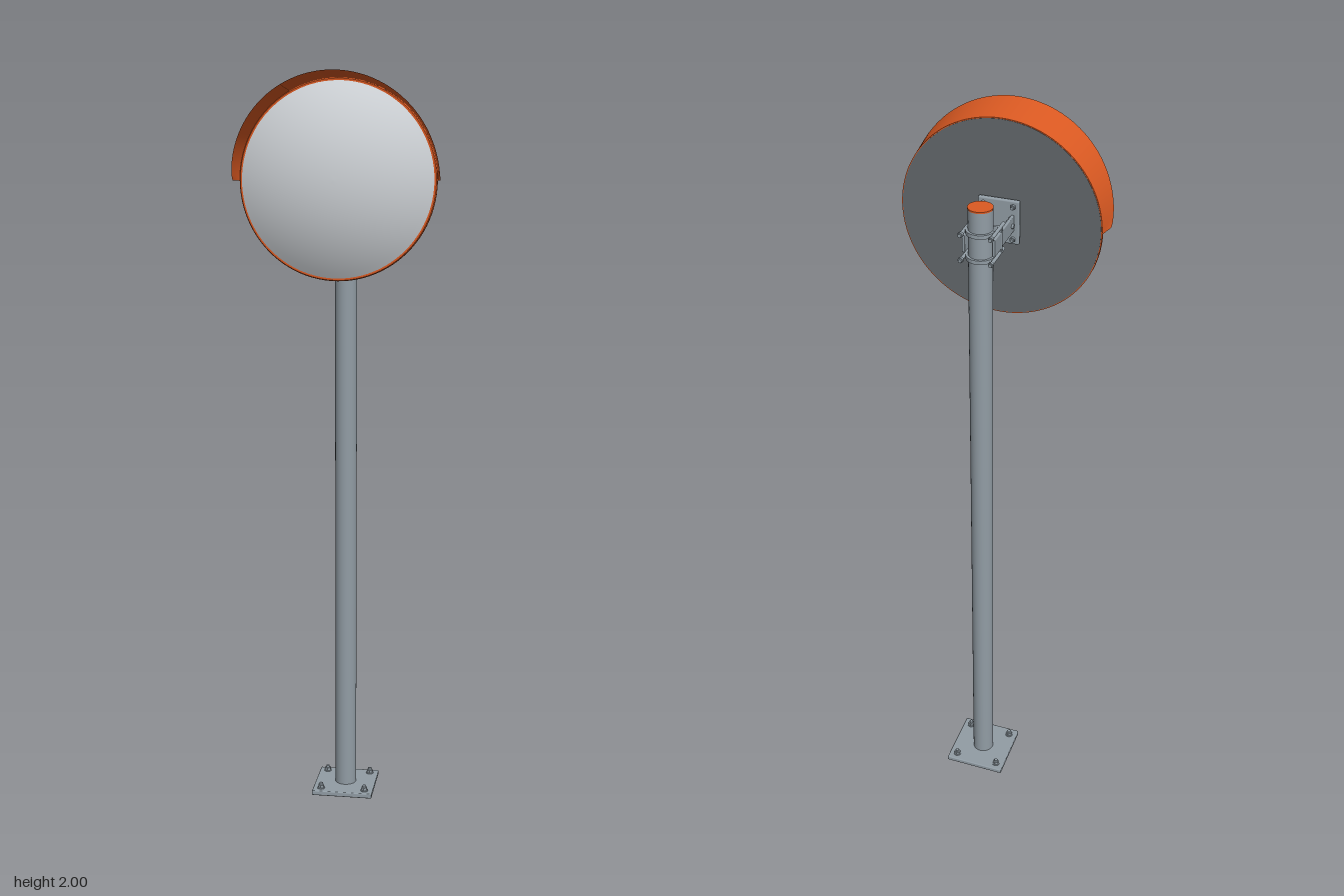
import * as THREE from 'three';
import { toCreasedNormals } from 'three/addons/utils/BufferGeometryUtils.js';
import { RoundedBoxGeometry } from 'three/addons/geometries/RoundedBoxGeometry.js';

const POLE_Z = -0.086;
const MIRROR_Y = 1.731;

export function createModel() {
  const model = new THREE.Group();
  const material = (name, color) => {
    const m = new THREE.MeshStandardMaterial({ color });
    m.name = name;
    return m;
  };
  const steel = material('galvanised steel', 0x929da5);
  const orange = material('safety orange', 0xdc5a22);
  const glass = material('mirror silver', 0xd0d4d8);
  const backing = material('dark backing', 0x63686c);
  orange.side = THREE.DoubleSide;

  const add = (name, geometry, mat, x, y, z, parent = model) => {
    const mesh = new THREE.Mesh(geometry, mat);
    mesh.name = name;
    mesh.position.set(x, y, z);
    parent.add(mesh);
    return mesh;
  };
  const box = (name, w, h, d, x, y, z, r = 0.002) =>
    add(name, new RoundedBoxGeometry(w, h, d, 2, r), steel, x, y, z);
  // Cylinder lying along z
  const rod = (name, r, length, x, y, z, sides = 16, mat = steel) =>
    add(name, new THREE.CylinderGeometry(r, r, length, sides).rotateX(Math.PI / 2), mat, x, y, z);

  // Base plate and anchor bolts
  box('basePlate', 0.172, 0.014, 0.172, 0, 0.007, POLE_Z, 0.003);
  for (const sx of [-1, 1]) for (const sz of [-1, 1]) {
    const bolt = new THREE.Group();
    bolt.name = 'anchorBolt';
    bolt.position.set(sx * 0.0625, 0.014, POLE_Z + sz * 0.0625);
    add('washer', new THREE.CylinderGeometry(0.011, 0.011, 0.002, 24), steel, 0, 0.001, 0, bolt);
    const nut = toCreasedNormals(new THREE.CylinderGeometry(0.009, 0.009, 0.008, 6), 0.5);
    add('nut', nut, steel, 0, 0.006, 0, bolt);
    add('stud', new THREE.CylinderGeometry(0.005, 0.005, 0.016, 16), steel, 0, 0.008, 0, bolt);
    model.add(bolt);
  }

  // Pole with its coloured end cap
  add('pole', new THREE.CylinderGeometry(0.03, 0.03, 1.81, 48), steel, 0, 0.919, POLE_Z);
  add('poleCap', new THREE.CylinderGeometry(0.031, 0.031, 0.004, 48), orange, 0, 1.826, POLE_Z);

  // Pole clamp: front saddle, two bands and their through bolts
  box('clampSaddle', 0.086, 0.07, 0.009, 0, 1.733, -0.053);
  for (const sx of [-1, 1]) box('clampCheek', 0.008, 0.045, 0.05, sx * 0.038, 1.733, -0.077);
  for (const y of [1.766, 1.7]) {
    const band = new THREE.Shape();
    band.absarc(0, 0, 0.036, 0, Math.PI, false);
    band.absarc(0, 0, 0.0295, Math.PI, 0, true);
    const bandGeometry = new THREE.ExtrudeGeometry(band, { depth: 0.01, bevelEnabled: false, curveSegments: 32 });
    bandGeometry.rotateX(-Math.PI / 2);
    add('clampBand', toCreasedNormals(bandGeometry, 0.6), steel, 0, y - 0.005, POLE_Z);
    for (const sx of [-1, 1]) {
      rod('clampBolt', 0.0045, 0.098, sx * 0.038, y, -0.079);
      rod('clampNut', 0.007, 0.008, sx * 0.038, y, -0.12, 6);
    }
  }

  // Arms reaching to the mirror plate, with hinge bolts across them
  box('mirrorPlate', 0.106, 0.115, 0.012, 0, 1.733, 0.047, 0.004);
  for (const sx of [-1, 1]) {
    box('bracketArm', 0.008, 0.042, 0.094, sx * 0.037, 1.733, -0.005);
    box('armLug', 0.009, 0.034, 0.034, sx * 0.033, 1.733, 0.026);
    const pivot = new THREE.CylinderGeometry(0.006, 0.006, 0.02, 6).rotateZ(Math.PI / 2);
    add('pivotBolt', pivot, steel, sx * 0.037, 1.733, 0.024);
    for (const sy of [-1, 1]) {
      rod('plateBolt', 0.007, 0.007, sx * 0.038, 1.733 + sy * 0.043, 0.038, 6);
      rod('plateStud', 0.004, 0.012, sx * 0.038, 1.733 + sy * 0.043, 0.036);
    }
  }

  // Mirror head: backing disc, rim and domed face
  rod('mirrorBack', 0.256, 0.006, 0, MIRROR_Y, 0.058, 96, backing);
  const lathe = (points) =>
    new THREE.LatheGeometry(points.map(([r, z]) => new THREE.Vector2(r, z)), 96).rotateX(Math.PI / 2);
  const rim = lathe([[0.25, 0.056], [0.2585, 0.056], [0.2585, 0.065], [0.256, 0.07], [0.248, 0.07]]);
  add('mirrorRim', toCreasedNormals(rim, 0.6), orange, 0, MIRROR_Y, 0);
  const dome = [];
  for (let i = 0; i <= 16; i++) {
    const r = 0.251 * (1 - i / 16);
    dome.push([r, 0.138 - 0.513 + Math.sqrt(0.513 ** 2 - r * r)]);
  }
  add('mirrorFace', lathe(dome), glass, 0, MIRROR_Y, 0);

  // Hood: flared half shell, deepest at the top
  const across = 96, along = 6;
  const positions = [], indices = [];
  for (let i = 0; i <= across; i++) {
    const a = (Math.PI * i) / across;
    const depth = 0.043 + 0.071 * Math.pow(Math.max(0, Math.sin(a)), 0.55);
    for (let j = 0; j <= along; j++) {
      const t = j / along;
      const r = 0.2585 + 0.0105 * t;
      positions.push(r * Math.cos(a), r * Math.sin(a), 0.058 + depth * t);
      if (i < across && j < along) {
        const p = i * (along + 1) + j, q = p + along + 1;
        indices.push(p, q, p + 1, q, q + 1, p + 1);
      }
    }
  }
  const hood = new THREE.BufferGeometry();
  hood.setAttribute('position', new THREE.Float32BufferAttribute(positions, 3));
  hood.setIndex(indices);
  hood.computeVertexNormals();
  add('hood', hood, orange, 0, MIRROR_Y, 0);

  return model;
}
